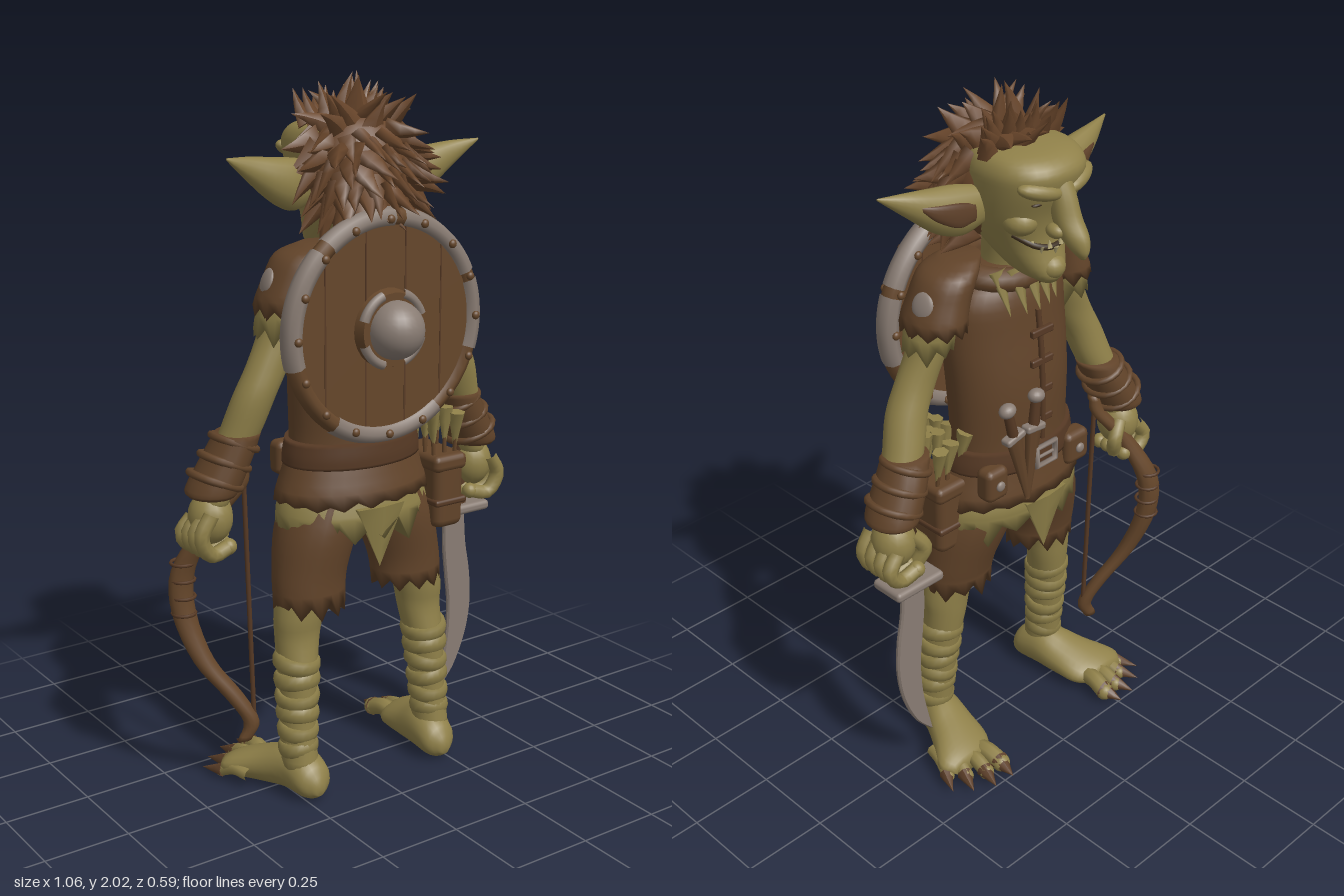
import * as THREE from 'three';
import { mergeGeometries } from 'three/addons/utils/BufferGeometryUtils.js';
import { RoundedBoxGeometry } from 'three/addons/geometries/RoundedBoxGeometry.js';

const mat = (name, color) => Object.assign(new THREE.MeshStandardMaterial({ color }), { name });
const V = (x, y, z) => new THREE.Vector3(x, y, z);

// Small seeded random source
let seed = 7;
const rnd = () => (seed = (seed * 16807) % 2147483647) / 2147483647;

// Smooth skin over elliptical sections [x, y, z, a, b] stacked along an axis;
// rag makes a torn last edge, sq below 1 makes the sections boxier
function loft(secs, { axis = 'y', n = 20, rag = 0, steps = 4, sq = 1 } = {}) {
  const mid = new THREE.CatmullRomCurve3(secs.map(s => V(s[0], s[1], s[2])), false, 'catmullrom');
  const rad = new THREE.CatmullRomCurve3(secs.map(s => V(s[3], s[4], 0)), false, 'catmullrom');
  const pw = v => Math.sign(v) * Math.abs(v) ** sq;
  const rows = (secs.length - 1) * steps, pos = [], idx = [];
  for (let j = 0; j <= rows; j++) {
    const c = mid.getPoint(j / rows), r = rad.getPoint(j / rows);
    for (let i = 0; i < n; i++) {
      const t = i / n * Math.PI * 2, p = r.x * pw(Math.cos(t)), q = r.y * pw(Math.sin(t));
      const drop = j === rows && rag ? rag * (i % 2 ? rnd() * 0.3 : 0.5 + rnd() * 0.5) : 0;
      if (axis === 'y') pos.push(c.x + p, c.y - drop, c.z + q);
      else if (axis === 'z') pos.push(c.x + p, c.y + q, c.z);
      else pos.push(c.x, c.y + q, c.z + p);
    }
  }
  for (let j = 0; j < rows; j++) for (let i = 0; i < n; i++) {
    const a = j * n + i, b = j * n + (i + 1) % n;
    idx.push(a, b, a + n, b, b + n, a + n);
  }
  const first = secs[0], last = secs[secs.length - 1], k = pos.length / 3;
  pos.push(first[0], first[1], first[2], last[0], last[1], last[2]);
  for (let i = 0; i < n; i++) {
    const m = (i + 1) % n;
    idx.push(k, m, i, k + 1, rows * n + i, rows * n + m);
  }
  // Turn the faces outward whatever the stacking direction
  const at = i => V(pos[i * 3], pos[i * 3 + 1], pos[i * 3 + 2]);
  let vol = 0;
  for (let i = 0; i < idx.length; i += 3) vol += at(idx[i]).dot(at(idx[i + 1]).cross(at(idx[i + 2])));
  if (vol < 0) idx.reverse();
  const g = new THREE.BufferGeometry();
  g.setAttribute('position', new THREE.Float32BufferAttribute(pos, 3));
  g.setIndex(idx);
  g.computeVertexNormals();
  return g;
}

const ball = (x, y, z, a, b, c) => new THREE.SphereGeometry(1, 18, 12).scale(a, b, c).translate(x, y, z);
const box = (x, y, z, w, h, d, r = 0.01) => new RoundedBoxGeometry(w, h, d, 2, r).translate(x, y, z);
const rod = (pts, r, seg = 16) => new THREE.TubeGeometry(new THREE.CatmullRomCurve3(pts), seg, r, 8);

// Tapered spike from a point along a direction, optionally bent and flattened
function spike(from, dir, r, len, flat = 1, bend = 0, sides = 6) {
  const g = new THREE.ConeGeometry(r, len, sides, 3).translate(0, len / 2, 0), p = g.attributes.position;
  for (let i = 0; i < p.count; i++) p.setX(i, p.getX(i) + bend * (p.getY(i) / len) ** 2);
  g.scale(1, 1, flat).applyQuaternion(new THREE.Quaternion().setFromUnitVectors(V(0, 1, 0), dir.clone().normalize()));
  g.translate(from.x, from.y, from.z);
  g.computeVertexNormals();
  return g;
}

export function createModel() {
  seed = 7;
  const root = new THREE.Group();
  root.name = 'goblinWarrior';
  const skin = mat('olive skin', 0x8f8049), leather = mat('brown leather', 0x614329), strap = mat('dark leather', 0x563924);
  const hair = mat('hair brown', 0x68452a), metal = mat('worn metal', 0x897c73), wood = mat('wood', 0x65462a);
  const linen = mat('linen', 0x8b7d47), claw = mat('claw brown', 0x5e4029), tooth = mat('tooth', 0xaca070), dark = mat('dark', 0x3a2b1b);
  const add = (name, material, ...geos) => {
    const m = new THREE.Mesh(geos.length > 1 ? mergeGeometries(geos) : geos[0], material);
    m.name = name;
    root.add(m);
    return m;
  };

  // Head, facing -z
  add('head', skin, loft([[0, 1.53, -.15, .025, .03], [0, 1.56, -.11, .06, .085], [0, 1.64, -.055, .1, .12], [0, 1.72, -.05, .13, .135],
    [0, 1.8, -.065, .142, .15], [0, 1.85, -.07, .14, .148], [0, 1.885, -.06, .11, .11], [0, 1.9, -.05, .02, .02]], { n: 32, sq: .85 }));
  add('neck', skin, loft([[0, 1.44, .02, .1, .08], [0, 1.53, 0, .07, .07], [0, 1.66, -.02, .075, .08]]));
  add('nose', skin, loft([[0, 1.85, -.185, .03, .02], [0, 1.79, -.202, .034, .034], [0, 1.73, -.218, .036, .042],
    [0, 1.685, -.243, .034, .045], [0, 1.65, -.266, .022, .028], [0, 1.628, -.277, .006, .008]], { n: 14 }));
  add('chin', skin, ball(0, 1.572, -.165, .04, .035, .04));
  add('mouth', dark, rod([V(-.095, 1.676, -.118), V(-.05, 1.642, -.163), V(0, 1.632, -.175), V(.05, 1.642, -.163), V(.095, 1.676, -.118)], .009));
  add('teeth', tooth, ...[-3, -2, -1, 0, 1, 2, 3].map(i =>
    spike(V(i * .02, 1.632 + i * i * .002, -.182 + i * i * .003), V(0, i % 2 ? 1 : -1, 0), .009, .022)));
  for (const s of [-1, 1]) {
    add('brow', skin, ball(0, 0, 0, .068, .024, .03).rotateZ(s * .25).rotateY(s * -.3).translate(s * .066, 1.805, -.19));
    add('eye', dark, ball(s * .066, 1.77, -.183, .024, .006, .01));
    add('cheek', skin, ball(s * .072, 1.71, -.125, .05, .04, .05));
    add('nostril', skin, ball(s * .032, 1.695, -.21, .022, .02, .028));
    add('ear', skin, loft([[s * .11, 1.74, -.03, .03, .05], [s * .18, 1.735, -.01, .045, .07], [s * .25, 1.75, 0, .042, .062],
      [s * .33, 1.785, .01, .025, .035], [s * .41, 1.82, .03, .003, .003]], { axis: 'x', n: 16 }));
    add('innerEar', claw, loft([[s * .16, 1.735, -.051, .008, .025], [s * .21, 1.74, -.047, .008, .034],
      [s * .27, 1.758, -.034, .008, .022], [s * .31, 1.778, -.02, .004, .006]], { axis: 'x', n: 12 }));
  }

  // Hair: a cap covered with broad bent tufts that sweep away from the crown
  const tufts = [], c0 = V(0, 1.76, .012);
  for (let i = 0; i < 170; i++) {
    const y = 1 - 1.8 * (i + .5) / 170, t = i * 2.39996, q = Math.sqrt(1 - y * y);
    const n = V(q * Math.cos(t), y, q * Math.sin(t));
    if (n.z < -.1 && y < .72 || y < .1 && n.z < .1) continue;
    const dir = n.clone().multiplyScalar(.45).add(V(n.x * .5 + .15, y > .75 ? .1 : -.6, n.z * .25))
      .add(V(rnd() - .5, rnd() - .5, rnd() - .5).multiplyScalar(.5));
    tufts.push(spike(n.clone().multiply(V(.15, .152, .132)).add(c0), dir, .034 + rnd() * .012, .085 + rnd() * .04, .5, (rnd() - .5) * .06, 5));
  }
  for (let i = 0; i < 11; i++)
    tufts.push(spike(V(-.11 + i * .023, 1.885, -.06 + rnd() * .04), V((i - 4) * .07, .75, -.5 + rnd() * .4), .034, .09 + rnd() * .03, .6, .02, 5));
  for (const [x, dx] of [[.04, .1], [.07, .45], [0, -.1]]) tufts.push(spike(V(x, 1.9, -.06), V(dx, .35, -1), .035, .11, .6, .02, 5));
  add('hairTufts', hair, ...tufts);
  add('hairCap', hair, ball(0, 1.765, .02, .153, .163, .135));

  // Torso and clothing
  add('vest', leather, loft([[0, 1.55, .01, .09, .08], [0, 1.47, .01, .185, .115], [0, 1.36, .01, .2, .13], [0, 1.2, -.005, .195, .135],
    [0, 1.03, -.01, .19, .13], [0, .96, -.005, .21, .14], [0, .87, 0, .245, .16]], { n: 36, rag: .025 }));
  add('shirtHem', linen, loft([[0, .92, 0, .2, .13], [0, .85, 0, .235, .15], [0, .81, .005, .245, .155]], { n: 32, rag: .085 }));
  for (const z of [-.145, .15]) add('shirtPoint', linen, spike(V(-.01, .85, z), V(0, -1, 0), .09, .18, .2));
  add('belt', strap, loft([[0, .96, -.005, .214, .147], [0, .99, -.005, .212, .148], [0, 1.03, -.005, .204, .145]], { n: 32 }));
  const buckle = new THREE.TorusGeometry(.046, .009, 6, 4).rotateZ(Math.PI / 4).scale(1.1, .9, 1).translate(0, .995, -.159);
  add('beltBuckle', metal, buckle, new THREE.CylinderGeometry(.005, .005, .06, 6).rotateZ(1.57).translate(.005, .995, -.161));
  add('collar', leather, new THREE.TorusGeometry(.11, .035, 10, 28).rotateX(Math.PI / 2).scale(1.1, 1, .9).rotateX(-.15).translate(0, 1.53, .015));
  add('shirtCollar', linen, ...[-.09, -.045, 0, .045, .09].map(x => spike(V(x, 1.55, -.085 + x * x * 3), V(-x * .4, -1, -.38), .034, .13, .4)));
  add('vestSeam', strap, rod([V(0, 1.43, -.122), V(0, 1.3, -.137), V(0, 1.15, -.143), V(0, 1.04, -.143)], .008));
  for (const y of [1.1, 1.19, 1.28, 1.37]) add('vestClasp', strap, box(0, y, -.137, .08, .022, .016, .005));
  for (const [x, tilt] of [[.11, .25], [.045, -.1]]) {
    const g = new THREE.Group();
    g.name = 'beltKnife';
    const m = (name, material, geo) => g.add(Object.assign(new THREE.Mesh(geo, material), { name }));
    m('knifeGrip', strap, new THREE.CylinderGeometry(.014, .016, .09, 8).translate(0, .08, 0));
    m('knifeGuard', metal, box(0, .035, 0, .07, .022, .034, .008));
    m('knifePommel', metal, ball(0, .13, 0, .026, .02, .022));
    m('knifeSheath', leather, new THREE.CylinderGeometry(.028, .01, .22, 8).scale(1, 1, .6).translate(0, -.08, 0));
    g.position.set(x, 1.06, -.15);
    g.rotation.z = -tilt;
    root.add(g);
  }
  add('beltPouch', leather, box(-.14, .95, -.125, .09, .1, .06, .02), box(.16, .95, -.11, .08, .1, .06, .02));
  add('pouchStud', metal, ball(-.14, .95, -.158, .015, .015, .008), ball(.16, .95, -.143, .015, .015, .008));

  // Limbs, mirrored
  for (const s of [-1, 1]) {
    add('shoulderPad', leather, loft([[s * .13, 1.585, .035, .05, .055], [s * .18, 1.555, .03, .075, .085], [s * .215, 1.49, .03, .078, .092],
      [s * .238, 1.43, .03, .082, .1]], { n: 22, rag: .04 }));
    add('shoulderPlate', metal, ball(0, 0, 0, .012, .038, .034).rotateZ(s * .35).rotateY(s * .2).translate(s * .285, 1.49, .015));
    add('sleeve', linen, loft([[s * .235, 1.45, .028, .07, .078], [s * .26, 1.38, .03, .068, .07]], { n: 16, rag: .06 }));
    add('arm', skin, loft([[s * .22, 1.48, .025, .06, .06], [s * .26, 1.36, .03, .055, .056], [s * .3, 1.27, .035, .06, .052], [s * .34, 1.19, .03, .06, .055],
      [s * .375, 1.09, .01, .058, .055], [s * .42, .99, -.01, .05, .05], [s * .45, .88, -.02, .04, .045]]));
    add('bracer', leather, loft([[s * .375, 1.09, 0, .062, .066], [s * .4, 1.03, -.01, .068, .075], [s * .445, .94, -.02, .073, .08], [s * .45, .92, -.02, .063, .07]]));
    add('bracerStrap', leather, ...[0, 1, 2].map(i => new THREE.TorusGeometry(.064 + i * .004, .011, 8, 20)
      .rotateX(Math.PI / 2).rotateZ(s * .4).translate(s * (.383 + i * .028), 1.06 - i * .05, -.008 - i * .005)));
    add('hand', skin, ball(s * .452, .855, -.025, .062, .075, .064));
    add('fingers', skin, ...[0, 1, 2, 3].map(i => rod([V(s * .48, .88 - i * .01, .03 - i * .034), V(s * .512, .82 - i * .005, .03 - i * .036),
      V(s * .48, .765, .025 - i * .035), V(s * .42, .775, .015 - i * .032)], .022, 10)));
    add('fingerTips', skin, ...[0, 1, 2, 3].map(i => ball(s * .42, .775, .015 - i * .032, .023, .023, .023)));
    add('thumb', skin, rod([V(s * .42, .88, -.06), V(s * .385, .83, -.075), V(s * .4, .78, -.06)], .022, 8));

    add('trouserLeg', leather, loft([[s * .09, .9, 0, .1, .12], [s * .13, .78, .01, .118, .122], [s * .162, .66, .022, .11, .1],
      [s * .17, .59, .03, .108, .09]], { n: 22, rag: .06 }));
    add('leg', skin, loft([[s * .18, .66, .03, .08, .075], [s * .208, .54, .035, .074, .066], [s * .215, .47, .035, .066, .06], [s * .225, .36, .05, .055, .062],
      [s * .232, .22, .06, .05, .056], [s * .235, .08, .075, .052, .06]]));
    add('legWrap', linen, ...[0, 1, 2, 3, 4, 5].map(i => new THREE.TorusGeometry(.046 + i * .0022, .013, 8, 20).scale(1, 1, 1.9)
      .rotateX(Math.PI / 2 + (i % 2 ? .18 : -.12)).rotateZ(s * (i % 3 - 1) * .15).translate(s * (.235 - i * .002), .15 + i * .05, .067 - i * .004)));
    add('foot', skin, loft([[s * .225, .045, .165, .015, .02], [s * .225, .06, .13, .055, .055], [s * .232, .075, .05, .064, .07], [s * .255, .06, -.03, .08, .058],
      [s * .285, .045, -.11, .098, .042], [s * .295, .04, -.155, .065, .025]], { axis: 'z' }));
    [[.228, -.21, .027], [.283, -.205, .023], [.335, -.175, .021], [.372, -.135, .019]].forEach(([x, z, r], i) => {
      const tip = V(s * x, r + .005, z), base = V(s * (x * .7 + .08), .04, z + .1);
      add('toe', skin, rod([base, base.clone().lerp(tip, .5).add(V(0, .012, 0)), tip], r, 8), ball(tip.x, tip.y, tip.z, r, r, r));
      add('toeClaw', claw, spike(tip.clone().add(V(0, .003, .008)), V(s * (.15 + i * .12), -.12, -1), r * 1.12, .072, 1, 0, 8));
    });
  }

  // Round shield carried on the back
  const shield = new THREE.Group();
  shield.name = 'shield';
  shield.position.set(-.01, 1.36, .16);
  root.add(shield);
  const part = (name, material, geo) => shield.add(Object.assign(new THREE.Mesh(geo, material), { name }));
  part('shieldBoard', wood, new THREE.CylinderGeometry(.3, .3, .035, 48).rotateX(Math.PI / 2));
  for (const x of [-.2, -.07, .06, .18]) part('plankGap', strap, new THREE.BoxGeometry(.005, 2 * Math.sqrt(.08 - x * x), .037).translate(x, 0, 0));
  part('rim', wood, new THREE.TorusGeometry(.295, .025, 8, 48).scale(1, 1, 1.2));
  for (const [from, to] of [[25, 80], [86, 128], [134, 195], [235, 305], [-18, 20]])
    part('rimPlate', metal, new THREE.TorusGeometry(.295, .028, 8, 20, (to - from) * Math.PI / 180).scale(1, 1, 1.2).rotateZ(from * Math.PI / 180));
  for (let i = 0; i < 16; i++) {
    const t = i * Math.PI / 8;
    for (const z of [-.033, .033]) part('rivet', wood, ball(.293 * Math.cos(t), .293 * Math.sin(t), z, .012, .012, .009));
  }
  part('bossRing', wood, new THREE.CylinderGeometry(.1, .11, .04, 28).rotateX(Math.PI / 2).translate(0, 0, .03));
  for (let i = 0; i < 4; i++) part('bossBand', metal, new THREE.TorusGeometry(.098, .014, 8, 10, .9).rotateZ(i * Math.PI / 2 + .35).translate(0, 0, .043));
  part('bossDome', metal, new THREE.SphereGeometry(.08, 24, 16).translate(0, 0, .055));

  // Curved sword in the +x hand
  const blade = new THREE.Shape();
  blade.moveTo(.362, .71);
  blade.splineThru([[.362, .6], [.372, .5], [.382, .4], [.375, .28], [.345, .135]].map(p => new THREE.Vector2(...p)));
  blade.splineThru([[.4, .2], [.443, .3], [.46, .4], [.455, .5], [.438, .6], [.43, .71]].map(p => new THREE.Vector2(...p)));
  add('swordBlade', metal, new THREE.ExtrudeGeometry(blade, { depth: .006, bevelSize: .004, bevelThickness: .006, bevelSegments: 1, curveSegments: 20 }).translate(0, 0, -.035));
  add('swordGuard', metal, box(.415, .715, -.04, .17, .03, .11, .012));
  add('swordGrip', strap, new THREE.CylinderGeometry(.024, .026, .24, 12).rotateZ(-.05).translate(.415, .83, -.03));
  add('swordPommel', metal, ball(.42, .95, -.03, .03, .02, .03));

  // Bow in the -x hand
  add('bow', wood, loft([[-.345, .98, -.02, .015, .015], [-.36, .92, -.03, .024, .02], [-.43, .82, -.07, .028, .024], [-.485, .68, -.125, .036, .028],
    [-.487, .55, -.125, .036, .028], [-.45, .41, -.085, .032, .025], [-.38, .3, -.04, .029, .022], [-.34, .22, -.015, .024, .02], [-.36, .165, -.02, .022, .015]], { n: 12 }));
  add('bowGripWrap', strap, ...[.7, .65, .6, .55].map(y => new THREE.TorusGeometry(.033, .005, 6, 14).rotateX(1.57).translate(-.487, y, -.125)));
  add('bowString', strap, rod([V(-.345, .96, -.025), V(-.33, .2, -.015)], .007, 2));

  // Quiver bag with feathered arrows at the hip
  add('quiver', leather, box(.245, .83, .05, .1, .2, .19, .025));
  add('quiverLid', leather, box(.245, .925, .05, .115, .05, .2, .018));
  add('quiverStrap', strap, box(.245, .81, .05, .11, .02, .2, .008));
  for (let i = 0; i < 12; i++) {
    const x = .21 + (i % 3) * .035, z = -.01 + Math.floor(i / 3) * .04;
    const top = V(x - .04 + (i % 3) * .015 + rnd() * .03, 1.05 + rnd() * .03, z + rnd() * .05 - .025);
    add('arrowShaft', wood, rod([V(x, .9, z), top], .006, 2));
    add('arrowFeather', skin, spike(top.clone().add(V(0, .01, 0)), V(x, .9, z).sub(top), .026, .13, .8));
  }
  return root;
}
